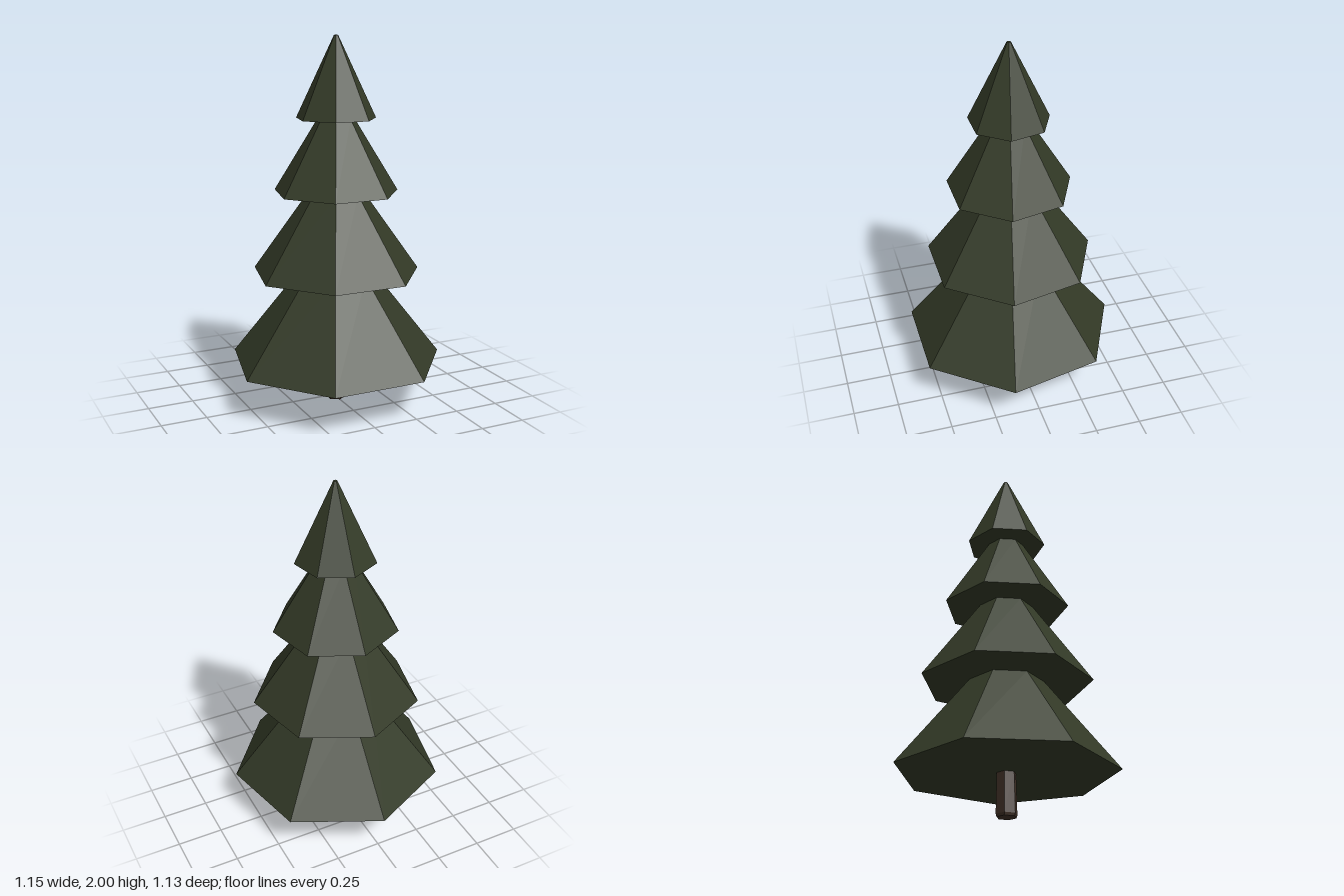
import * as THREE from 'three';

export function createModel() {
  const tree = new THREE.Group();
  tree.name = 'pineTree';

  const needles = new THREE.MeshStandardMaterial({ color: 0x333a27, flatShading: true });
  needles.name = 'darkGreenNeedles';
  const bark = new THREE.MeshStandardMaterial({ color: 0x3e2f25, flatShading: true });
  bark.name = 'brownBark';

  const axisZ = 0.027; // seven-sided tiers sit slightly forward of centre

  // Tapered section standing between two heights
  function addSection(name, material, sides, y0, y1, r0, r1, turn = 0) {
    const geometry = new THREE.CylinderGeometry(r1, r0, y1 - y0, sides);
    const mesh = new THREE.Mesh(geometry, material);
    mesh.name = name;
    mesh.position.set(0, (y0 + y1) / 2, axisZ);
    mesh.rotation.y = turn;
    tree.add(mesh);
  }

  // Six-sided trunk with a small bevelled foot
  addSection('trunkFoot', bark, 6, 0, 0.015, 0.053, 0.058);
  addSection('trunk', bark, 6, 0.015, 0.24, 0.058, 0.052);

  // Foliage tiers: bottom height, top height, bottom radius, top radius
  const tiers = [
    [0.23, 0.725, 0.592, 0.205],
    [0.725, 1.17, 0.465, 0.15],
    [1.17, 1.565, 0.343, 0.1],
    [1.565, 2.0, 0.219, 0.011],
  ];
  tiers.forEach(([y0, y1, r0, r1], i) =>
    addSection(`foliageTier${i + 1}`, needles, 7, y0, y1, r0, r1, Math.PI));

  return tree;
}
